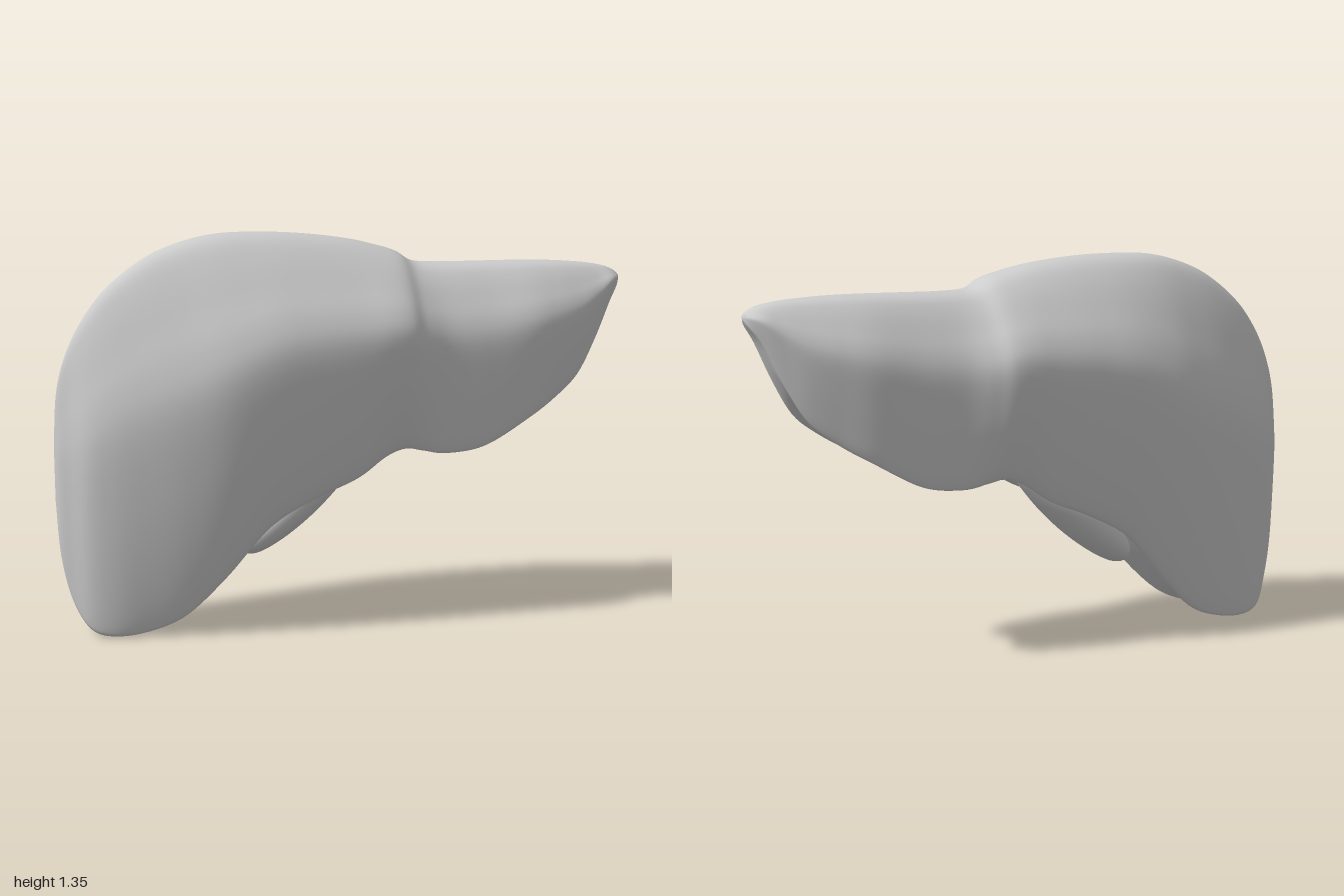
import * as THREE from 'three';

// Stations along the body: x, top y, bottom rim y, half depth, rim depth ratio, underside hollow
const stations = [
  [-1, 0.66, 0.46, 0.004, 0.6, 0],
  [-0.987, 0.83, 0.27, 0.035, 0.6, 0],
  [-0.955, 0.95, 0.125, 0.07, 0.6, 0],
  [-0.9, 1.06, 0.03, 0.13, 0.66, 0],
  [-0.82, 1.165, 0.005, 0.17, 0.68, 0],
  [-0.7, 1.26, 0.018, 0.21, 0.62, 0.02],
  [-0.58, 1.315, 0.07, 0.245, 0.6, 0.03],
  [-0.45, 1.345, 0.195, 0.274, 0.62, 0.05],
  [-0.3, 1.35, 0.365, 0.285, 0.65, 0.07],
  [-0.15, 1.343, 0.455, 0.285, 0.67, 0.08],
  [0, 1.325, 0.52, 0.285, 0.67, 0.1],
  [0.1, 1.303, 0.588, 0.283, 0.65, 0.11],
  [0.17, 1.282, 0.613, 0.272, 0.66, 0.11],
  [0.23, 1.248, 0.604, 0.245, 0.72, 0.12],
  [0.32, 1.24, 0.59, 0.217, 0.8, 0.15],
  [0.46, 1.24, 0.61, 0.206, 0.82, 0.24],
  [0.62, 1.241, 0.698, 0.199, 0.8, 0.26],
  [0.73, 1.239, 0.765, 0.174, 0.74, 0.22],
  [0.82, 1.234, 0.84, 0.145, 0.7, 0.14],
  [0.89, 1.227, 0.96, 0.114, 0.72, 0.07],
  [0.95, 1.215, 1.09, 0.084, 0.75, 0.02],
  [0.988, 1.197, 1.15, 0.045, 0.8, 0],
  [1, 1.18, 1.172, 0.004, 0.8, 0],
];

// Closed cross-section as [z, y] points, mirrored front to back
function section(x, top, bottom, depth, rim, hollow, count) {
  const round = 1 - 0.2 * THREE.MathUtils.smoothstep(x, 0, 0.4);
  const flank = (k) => rim + k * (1 - rim);
  const half = [
    [0.25, 0.02], [0.47, 0.087], [0.7, 0.19], [0.91, 0.3], [1, 0.42],
    [flank(0.78), 0.62], [flank(0.42), 0.82], [flank(0.04), 0.97],
    [rim - 0.09, 1 - hollow * 0.08], [rim * 0.5, 1 - hollow * 0.65],
  ].map(([z, t]) => [t < 0.42 ? z ** round : z, t]);
  const loop = [[0, 0], ...half, [0, 1 - hollow], ...half.slice().reverse().map(([z, t]) => [-z, t])];
  const curve = new THREE.CatmullRomCurve3(
    loop.map(([z, t]) => new THREE.Vector3(0, t, z)), true, 'catmullrom', 0.5);
  return Array.from({ length: count }, (_, i) => {
    const p = curve.getPoint(i / count);
    return [p.z * depth, top - p.y * (top - bottom)];
  });
}

// Skin lofted through the cross-sections
function lobesGeometry(rows = 132, count = 88) {
  const curveOf = (k) => new THREE.CatmullRomCurve3(
    stations.map((s) => new THREE.Vector3(s[k], s[k + 1], s[k + 2])), false, 'catmullrom', 0.5);
  const outline = curveOf(0), shape = curveOf(3);
  const positions = [], index = [];
  for (let i = 0; i <= rows; i++) {
    const a = outline.getPoint(i / rows), b = shape.getPoint(i / rows);
    for (const [z, y] of section(a.x, a.y, a.z, b.x, b.y, b.z, count)) positions.push(a.x, y, z);
  }
  for (let i = 0; i < rows; i++) {
    for (let j = 0; j < count; j++) {
      const a = i * count + j, b = i * count + (j + 1) % count;
      index.push(a, b, a + count, b, b + count, a + count);
    }
  }
  // Close both tips
  for (let j = 1; j < count - 1; j++) {
    index.push(0, j + 1, j);
    index.push(rows * count, rows * count + j, rows * count + j + 1);
  }
  const geometry = new THREE.BufferGeometry();
  geometry.setAttribute('position', new THREE.Float32BufferAttribute(positions, 3));
  geometry.setIndex(index);
  geometry.computeVertexNormals();
  return geometry;
}

export function createModel() {
  const group = new THREE.Group();
  const material = new THREE.MeshStandardMaterial({ color: 0xcccccc, roughness: 0.7 });

  const lobes = new THREE.Mesh(lobesGeometry(), material);
  lobes.name = 'liverLobes';
  group.add(lobes);

  // Pear-shaped sac tucked against the underside, narrowing to its neck
  const start = new THREE.Vector3(-0.375, 0.255, 0), end = new THREE.Vector3(0.1, 0.68, 0);
  const length = start.distanceTo(end);
  const profile = new THREE.SplineCurve([
    [0, 0], [0.045, 0.012], [0.08, 0.055], [0.106, 0.14], [0.118, 0.25],
    [0.113, 0.36], [0.094, 0.46], [0.062, 0.56], [0, length],
  ].map(([r, y]) => new THREE.Vector2(r, y))).getPoints(40).map((p) => p.set(Math.max(p.x, 0), p.y));
  const gallbladder = new THREE.Mesh(new THREE.LatheGeometry(profile, 40), material);
  gallbladder.name = 'gallbladder';
  gallbladder.position.copy(start);
  gallbladder.rotation.z = -Math.atan2(end.x - start.x, end.y - start.y);
  gallbladder.scale.x = 0.68;
  group.add(gallbladder);

  return group;
}
